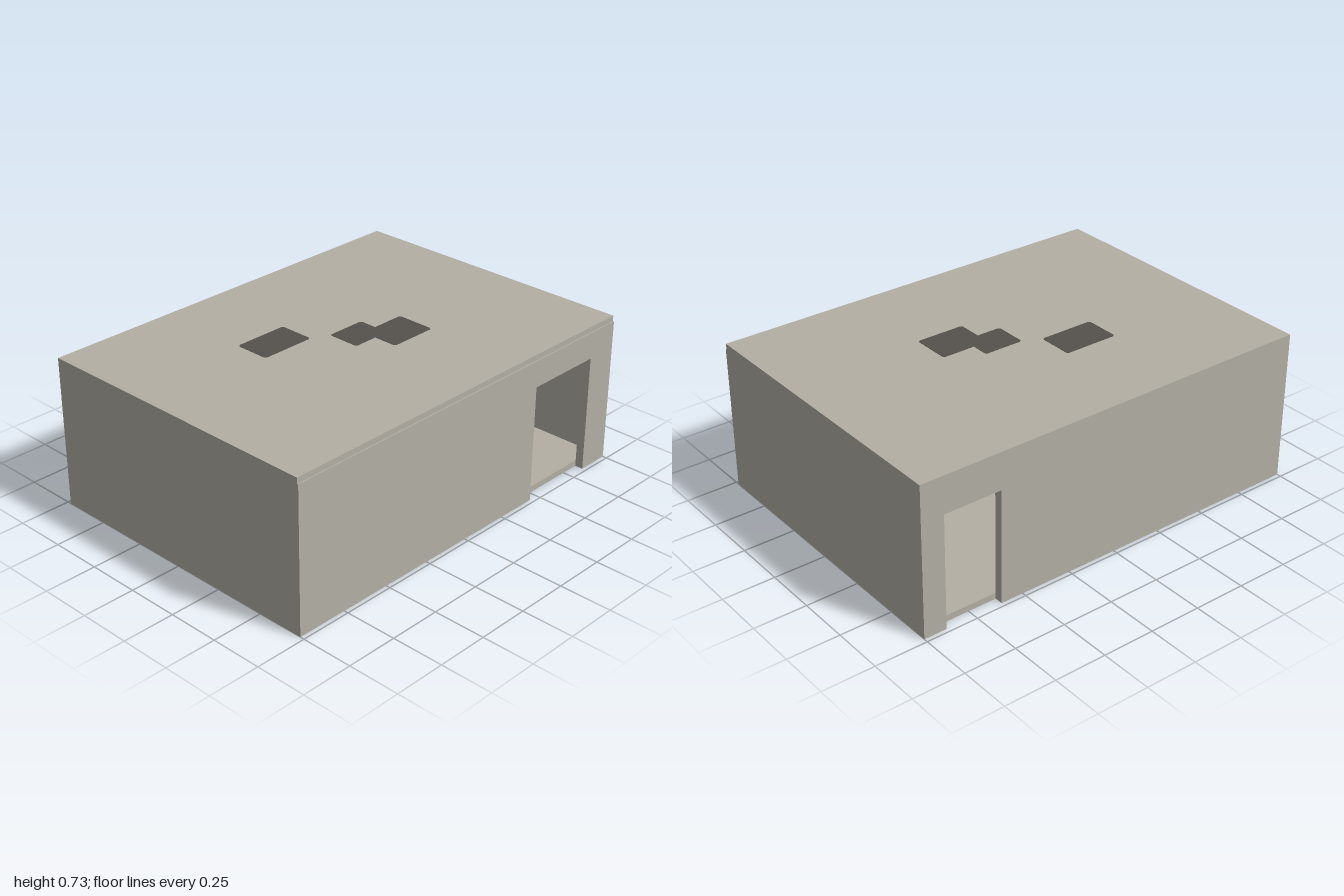
import * as THREE from 'three';

export function createModel() {
  const model = new THREE.Group();
  const stone = new THREE.MeshStandardMaterial({ color: 0xb3afa4 });
  stone.name = 'warm grey plaster';
  const dark = new THREE.MeshStandardMaterial({ color: 0x55514b });
  dark.name = 'dark panel grey';

  const W = 1, D = 0.73, T = 0.04;      // half width, half depth, wall thickness
  const FLOOR = 0.03, CEIL = 0.70, TOP = 0.727;

  const add = (name, geometry, material) => {
    const mesh = new THREE.Mesh(geometry, material);
    mesh.name = name;
    model.add(mesh);
    return mesh;
  };
  // Box given by its minimum and maximum on each axis
  const box = (name, material, x0, x1, y0, y1, z0, z1) => {
    const mesh = add(name, new THREE.BoxGeometry(x1 - x0, y1 - y0, z1 - z0), material);
    mesh.position.set((x0 + x1) / 2, (y0 + y1) / 2, (z0 + z1) / 2);
    return mesh;
  };
  const outline = (points) => new THREE.Shape(points.map(([x, y]) => new THREE.Vector2(x, y)));

  // Wall with a doorway cut up from the ground
  const doorWall = (name, x0, x1, height, z) => {
    const shape = outline([
      [-W, 0], [x0, 0], [x0, height], [x1, height], [x1, 0], [W, 0], [W, CEIL], [-W, CEIL],
    ]);
    const geometry = new THREE.ExtrudeGeometry(shape, { depth: T, bevelEnabled: false });
    add(name, geometry, stone).position.z = z;
  };
  doorWall('frontWall', 0.45, 0.84, 0.57, D - T);
  doorWall('backWall', 0.61, 0.89, 0.55, -D);

  // Side walls
  for (const [name, s] of [['leftWall', 1], ['rightWall', -1]]) {
    const a = s * W, b = s * (W - T);
    box(name, stone, Math.min(a, b), Math.max(a, b), 0, CEIL, -D + T, D - T);
  }

  // Floor between the walls, roof slab slightly set back at the front
  box('floor', stone, -W + T, W - T, 0, FLOOR, -D + T, D - T);
  box('roof', stone, -W, W, CEIL, TOP, -D, D - 0.006);

  // Dark panels set through the roof, showing above and on the ceiling
  const panel = (name, x0, x1, z0, z1) => {
    const c = 0.008;
    const shape = outline([
      [x0 + c, -z1], [x1 - c, -z1], [x1, -z1 + c], [x1, -z0 - c],
      [x1 - c, -z0], [x0 + c, -z0], [x0, -z0 - c], [x0, -z1 + c],
    ]);
    const geometry = new THREE.ExtrudeGeometry(shape, { depth: TOP - CEIL + 0.003, bevelEnabled: false });
    geometry.rotateX(-Math.PI / 2);
    add(name, geometry, dark).position.y = CEIL - 0.0015;
  };
  panel('roofPanelRear', -0.385, -0.115, -0.262, -0.09);
  panel('roofPanelMiddle', -0.03, 0.165, -0.05, 0.108);
  panel('roofPanelFront', 0.09, 0.328, 0.037, 0.226);

  // Small plate on the inside of the left wall
  box('wallPlate', dark, W - T - 0.005, W - T, 0.15, 0.235, -0.51, -0.41);

  return model;
}
